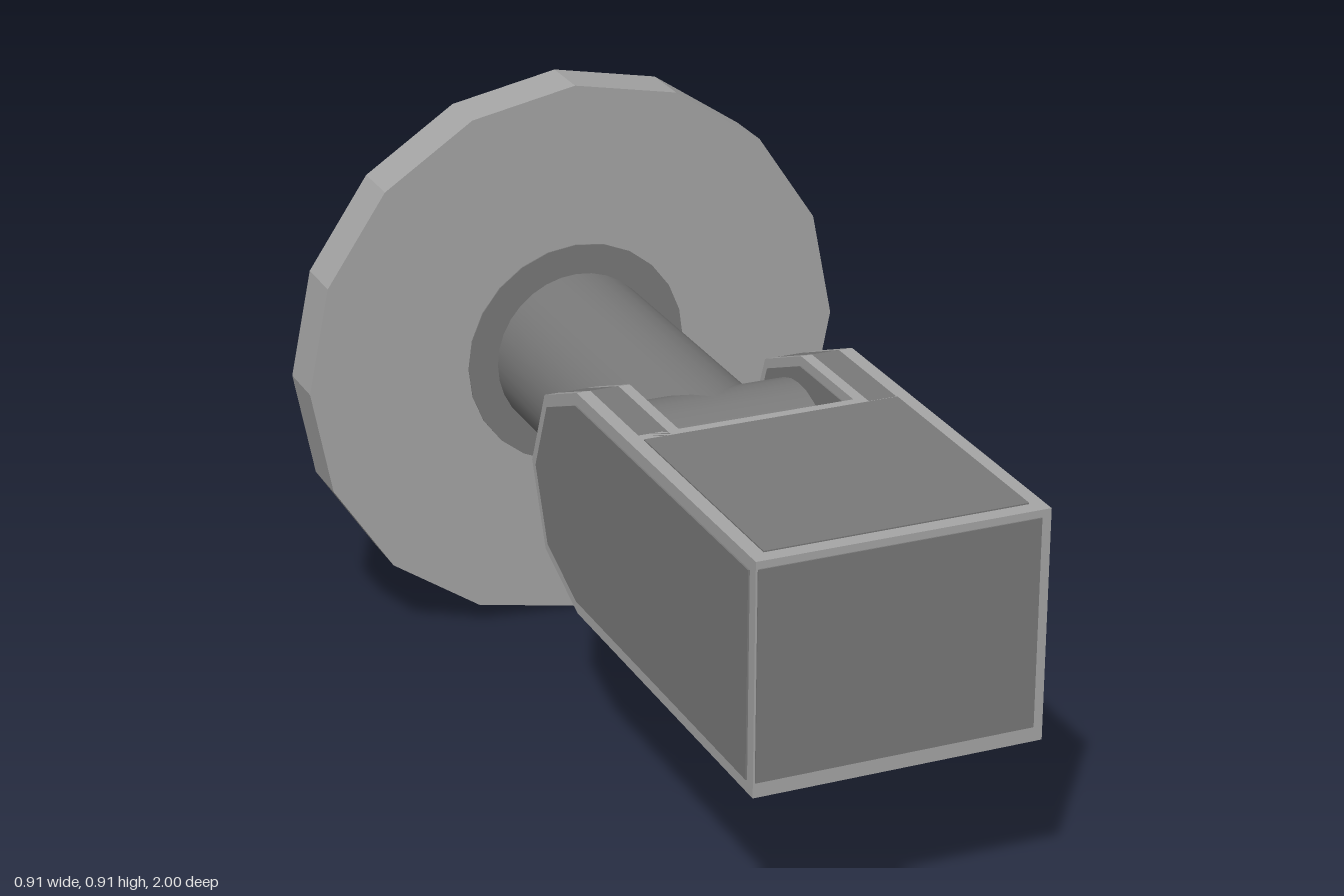
import * as THREE from 'three';

const CY = 0.456; // height of the main axis
const PIVOT = 0.365; // z of the hinge axis

export function createModel() {
  const model = new THREE.Group();
  model.name = 'clevisSpike';
  const light = new THREE.MeshStandardMaterial({ color: 0xa6a6a6 });
  light.name = 'light grey';
  const dark = new THREE.MeshStandardMaterial({ color: 0x7a7a7a });
  dark.name = 'dark grey';

  const add = (name, geo, mat, x = 0, y = CY, z = 0) => {
    const mesh = new THREE.Mesh(geo, mat);
    mesh.name = name;
    mesh.position.set(x, y, z);
    model.add(mesh);
    return mesh;
  };
  const box = (name, mat, w, h, d, x, y, z) => add(name, new THREE.BoxGeometry(w, h, d), mat, x, y, z);

  // Round part along z, from z0 (front) to z1 (back)
  const round = (name, mat, rFront, rBack, z0, z1, sides, open = false) => {
    const geo = new THREE.CylinderGeometry(rFront, rBack, z0 - z1, sides, 1, open);
    geo.rotateX(Math.PI / 2);
    return add(name, geo, mat, 0, CY, (z0 + z1) / 2);
  };

  // Disc with faceted rim and dark patches on both faces
  const disc = round('disc', light, 0.455, 0.455, -0.185, -0.272, 16);
  disc.geometry = disc.geometry.toNonIndexed();
  disc.geometry.computeVertexNormals();
  round('discFrontPatch', dark, 0.187, 0.187, -0.183, -0.187, 24);
  round('discBackPatch', dark, 0.21, 0.21, -0.27, -0.275, 24);

  // Tapered spike: one smooth profile, dark near the disc
  const spike = (name, mat, points) => {
    const geo = new THREE.LatheGeometry(points.map(([r, z]) => new THREE.Vector2(r, -z)), 24);
    geo.rotateX(-Math.PI / 2);
    add(name, geo, mat);
  };
  spike('spikeBase', dark, [[0.175, -0.27], [0.161, -0.365]]);
  spike('spike', light, [[0.161, -0.365], [0.147, -0.45], [0.044, -1]]);
  round('spikeTip', light, 0.045, 0.044, -0.997, -1, 24);

  // Rod ending in a cross barrel of the same radius
  round('rod', dark, 0.137, 0.137, PIVOT, -0.19, 32);
  const barrel = new THREE.CylinderGeometry(0.137, 0.137, 0.274, 32);
  barrel.rotateZ(Math.PI / 2);
  add('rodBarrel', barrel, dark, 0, CY, PIVOT);

  // Clevis side profile: box with a half-octagon end, shrunk by an inset
  const slab = (name, mat, x0, x1, zFront, inset = 0) => {
    const r = 0.18 - inset;
    const shape = new THREE.Shape();
    shape.moveTo(-(zFront - inset), -r);
    for (let i = 0; i <= 4; i++) {
      const a = -Math.PI / 2 + (i * Math.PI) / 4;
      shape.lineTo(-PIVOT + r * Math.cos(a), r * Math.sin(a));
    }
    shape.lineTo(-(zFront - inset), r);
    const geo = new THREE.ExtrudeGeometry(shape, { depth: x1 - x0, bevelEnabled: false });
    geo.rotateY(Math.PI / 2);
    add(name, geo, mat, x0, CY, 0);
  };

  // Two arms, each with a dark band between light edges
  for (const s of [-1, 1]) {
    const side = s > 0 ? 'left' : 'right';
    const layer = (name, mat, a, b, inset = 0, zFront = 0.56) =>
      slab(side + name, mat, Math.min(s * a, s * b), Math.max(s * a, s * b), zFront, inset);
    layer('ArmInnerEdge', light, 0.14, 0.158);
    layer('ArmBand', dark, 0.158, 0.203);
    layer('ArmOuterEdge', light, 0.203, 0.225);
    layer('ArmInnerPanel', dark, 0.138, 0.141, 0.016);
    layer('SidePanel', dark, 0.224, 0.2275, 0.02, 1);
  }

  // Solid block with dark panels
  box('block', light, 0.45, 0.36, 0.454, 0, CY, 0.772);
  box('slotEndPanel', dark, 0.278, 0.33, 0.004, 0, CY, 0.545);
  box('frontPanel', dark, 0.432, 0.325, 0.004, -0.006, CY + 0.006, 0.999);
  for (const s of [-1, 1]) {
    box(s > 0 ? 'topPanel' : 'bottomPanel', dark, 0.405, 0.004, 0.41, 0, CY + s * 0.18, 0.77);
  }
  return model;
}
